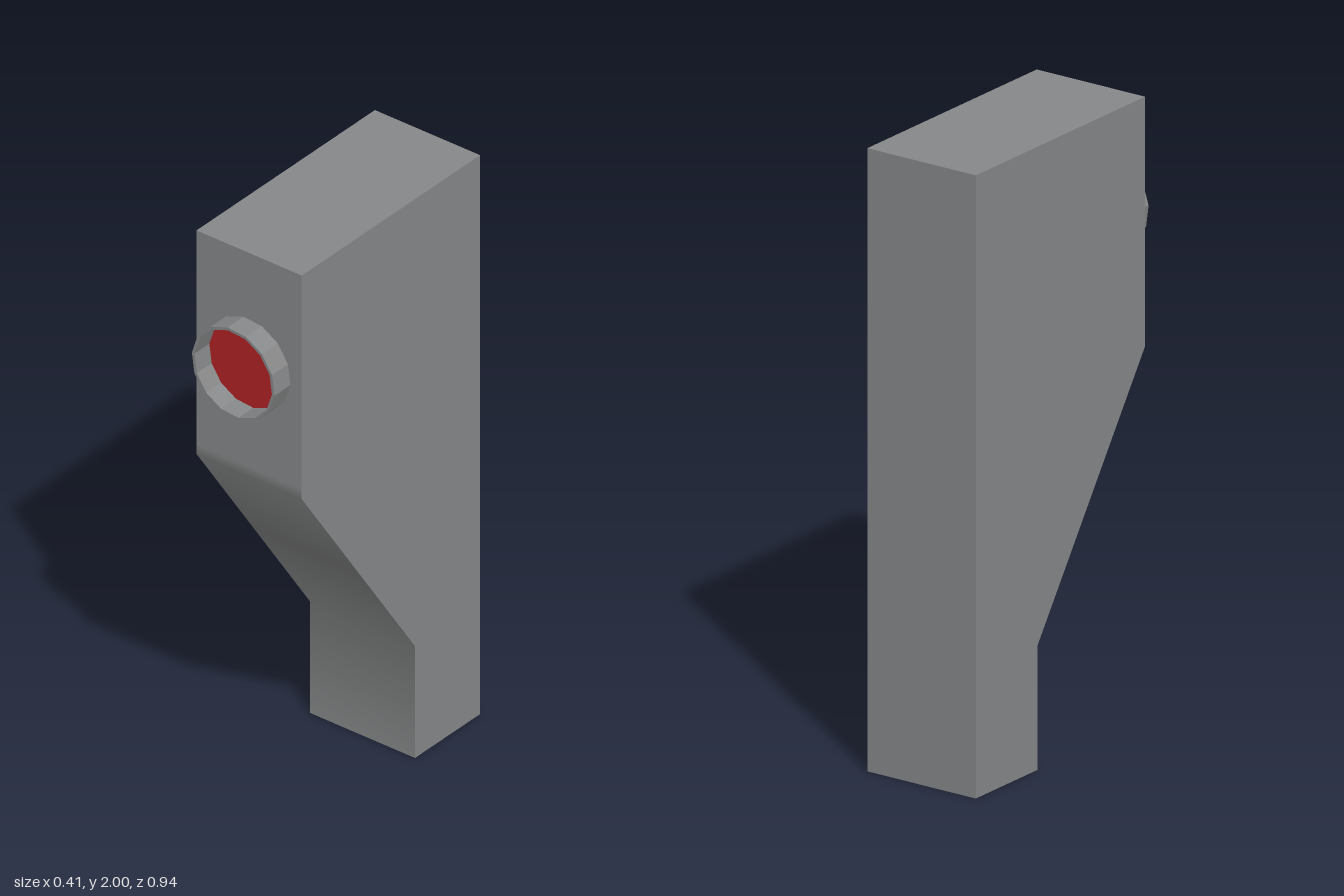
import * as THREE from 'three';

const HALF_WIDTH = 0.203, BACK = -0.47, FRONT = 0.393, FOOT = -0.155;

// Front edge from top to bottom: y, z and tilt of the blended normal (0 = facing forward)
const TILT = Math.atan2(FRONT - FOOT, 0.8);
const frontEdge = [
  [2, FRONT, 0],
  [1.235, FRONT, 0],
  [1.2, FRONT, TILT / 2],
  [0.8, (FRONT + FOOT) / 2, TILT],
  [0.4, FOOT, TILT / 2],
  [0, FOOT, 0],
];

// Side outline extruded across the width, with softly blended shading down the front
function bodyGeometry() {
  const points = frontEdge.map(([y, z]) => new THREE.Vector2(-z, y));
  points.push(new THREE.Vector2(-BACK, 0), new THREE.Vector2(-BACK, 2));
  const geometry = new THREE.ExtrudeGeometry(new THREE.Shape(points), {
    depth: HALF_WIDTH * 2, bevelEnabled: false, steps: 1,
  });
  geometry.translate(0, 0, -HALF_WIDTH).rotateY(Math.PI / 2);

  const position = geometry.attributes.position, normal = geometry.attributes.normal;
  for (let i = 0; i < position.count; i++) {
    if (normal.getZ(i) < 0.5) continue;
    const row = frontEdge.find(([y]) => Math.abs(y - position.getY(i)) < 0.001);
    normal.setXYZ(i, 0, -Math.sin(row[2]), Math.cos(row[2]));
  }
  return geometry;
}

// Faceted open collar that projects from the front
function collarGeometry(sides, turn) {
  const profile = [[0.16, 0.39], [0.16, 0.47], [0.15, 0.47], [0.15, 0.39]]
    .map(([r, z]) => new THREE.Vector2(r, z));
  const geometry = new THREE.LatheGeometry(profile, sides, Math.PI - turn)
    .rotateX(Math.PI / 2).toNonIndexed();
  geometry.computeVertexNormals();
  return geometry;
}

export function createModel() {
  const grey = new THREE.MeshStandardMaterial({ color: 0x878889 });
  grey.name = 'grey casing';
  const red = new THREE.MeshStandardMaterial({ color: 0xb02224 });
  red.name = 'red lens';

  const model = new THREE.Group();
  const add = (name, geometry, material, y = 0, z = 0) => {
    const mesh = new THREE.Mesh(geometry, material);
    mesh.name = name;
    mesh.position.set(0, y, z);
    model.add(mesh);
  };

  const sides = 14, turn = THREE.MathUtils.degToRad(18);
  add('body', bodyGeometry(), grey);
  add('lensCollar', collarGeometry(sides, turn), grey, 1.605);
  // Recessed lens at the bottom of the collar
  add('lens', new THREE.CircleGeometry(0.151, sides, Math.PI / 2 - turn), red, 1.605, FRONT + 0.005);
  return model;
}
